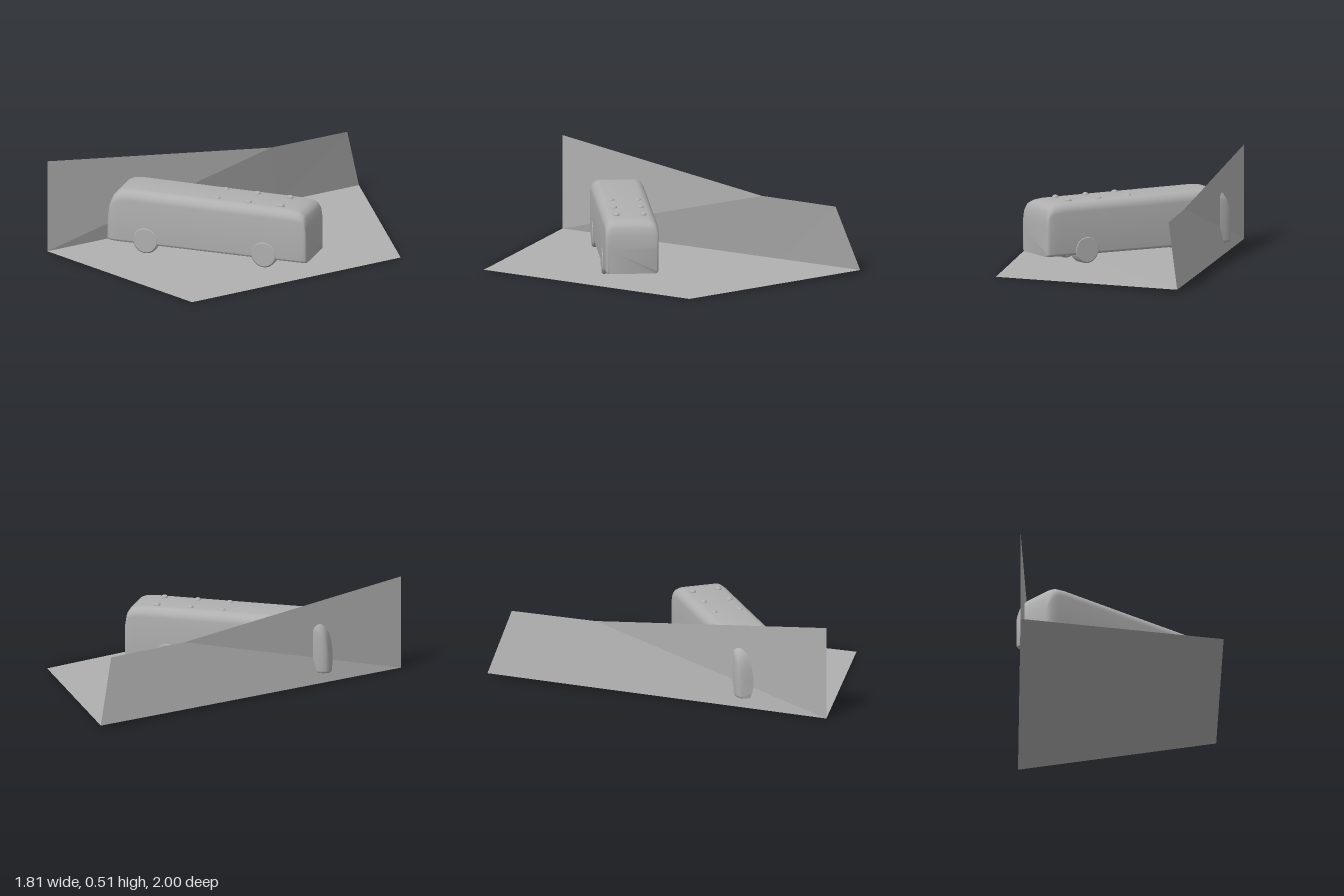
import * as THREE from 'three';
import { toCreasedNormals } from 'three/addons/utils/BufferGeometryUtils.js';

const CENTRE_Z = 0.234;

// Flat polygon strip from corner points and triangle indices
function sheet(points, index) {
  const g = new THREE.BufferGeometry();
  g.setAttribute('position', new THREE.Float32BufferAttribute(points.flat(), 3));
  g.setIndex(index);
  const flat = g.toNonIndexed();
  flat.computeVertexNormals();
  return flat;
}

// Cross-section of the coach: rounded rectangle with a softer roof edge
function section(x, top, half, roofR) {
  const bottom = 0.057, floorR = 0.014, steps = 6, ring = [];
  const corners = [[1, 1, roofR], [-1, 1, roofR], [-1, -1, floorR], [1, -1, floorR]];
  corners.forEach(([sz, sy, r], c) => {
    const cz = sz * (half - r);
    const cy = sy > 0 ? top - r : bottom + r;
    for (let i = 0; i <= steps; i++) {
      const a = (c + i / steps) * Math.PI / 2;
      ring.push([x, cy + Math.sin(a) * r, CENTRE_Z + cz + Math.cos(a) * r]);
    }
  });
  return ring;
}

// Join the cross-sections and close both ends
function loft(rings) {
  const n = rings[0].length, index = [], points = rings.flat();
  for (let s = 0; s < rings.length - 1; s++) {
    for (let i = 0; i < n; i++) {
      const j = (i + 1) % n, a = s * n, b = a + n;
      index.push(a + i, b + i, b + j, a + i, b + j, a + j);
    }
  }
  const last = (rings.length - 1) * n;
  for (let i = 1; i < n - 1; i++) {
    index.push(0, i, i + 1, last, last + i + 1, last + i);
  }
  const g = new THREE.BufferGeometry();
  g.setAttribute('position', new THREE.Float32BufferAttribute(points.flat(), 3));
  g.setIndex(index);
  return toCreasedNormals(g, 0.7);
}

export function createModel() {
  const model = new THREE.Group();
  model.name = 'coachScene';
  const grey = new THREE.MeshStandardMaterial({ color: 0xb0b0b0, side: THREE.DoubleSide });
  grey.name = 'plain grey';

  const add = (name, geometry, x = 0, y = 0, z = 0) => {
    const mesh = new THREE.Mesh(geometry, grey);
    mesh.name = name;
    mesh.position.set(x, y, z);
    model.add(mesh);
    return mesh;
  };

  // Ground, slightly raised at the far corner
  const near = [-0.905, 0, 0.495], far = [0.33, 0.016, -1];
  add('ground', sheet([far, near, [0.09, 0, 0.995], [0.905, 0, -0.04]], [0, 1, 2, 0, 2, 3]));

  // Backdrop wall folded once along its length
  add('backdropWall', sheet(
    [near, [0, 0.011, -0.6], far, [-0.905, 0.51, 0.495], [0.01, 0.36, -0.5], [0.31, 0.36, -0.87]],
    [0, 1, 4, 0, 4, 3, 1, 2, 5, 1, 5, 4]
  ));

  // Coach body: x, roof height, half width, roof edge radius
  const stations = [
    [-0.617, 0.16, 0.112, 0.035],
    [-0.611, 0.22, 0.125, 0.04],
    [-0.602, 0.268, 0.133, 0.045],
    [-0.587, 0.305, 0.139, 0.05],
    [-0.565, 0.331, 0.142, 0.055],
    [-0.535, 0.345, 0.143, 0.055],
    [-0.48, 0.35, 0.143, 0.055],
    [0, 0.346, 0.143, 0.055],
    [0.41, 0.342, 0.143, 0.052],
    [0.465, 0.335, 0.143, 0.05],
    [0.492, 0.322, 0.142, 0.045],
    [0.505, 0.3, 0.14, 0.04],
    [0.512, 0.26, 0.136, 0.035],
    [0.515, 0.22, 0.13, 0.03]
  ];
  add('coachBody', loft(stations.map(s => section(...s))));

  // Wheels: single tyres in front, twin tyres at the rear
  const r = 0.073, w = 0.016, b = 0.008;
  const tyre = toCreasedNormals(new THREE.LatheGeometry(
    [[0, -w], [r - b, -w], [r, -w + b], [r, w - b], [r - b, w], [0, w]]
      .map(([px, py]) => new THREE.Vector2(px, py)), 32).rotateX(Math.PI / 2), 0.7);
  for (const side of [-1, 1]) {
    add('frontWheel', tyre, -0.393, 0.082, CENTRE_Z + side * 0.13);
    add('rearOuterWheel', tyre, 0.275, 0.082, CENTRE_Z + side * 0.13);
    add('rearInnerWheel', tyre, 0.275, 0.082, CENTRE_Z + side * 0.095);
  }

  // Two rows of small roof vents
  const vent = new THREE.SphereGeometry(0.018, 16, 10).scale(1, 0.7, 1);
  for (const x of [-0.01, 0.168, 0.352]) {
    for (const side of [-1, 1]) add('roofVent', vent, x, 0.344, CENTRE_Z + side * 0.072);
  }

  return model;
}
